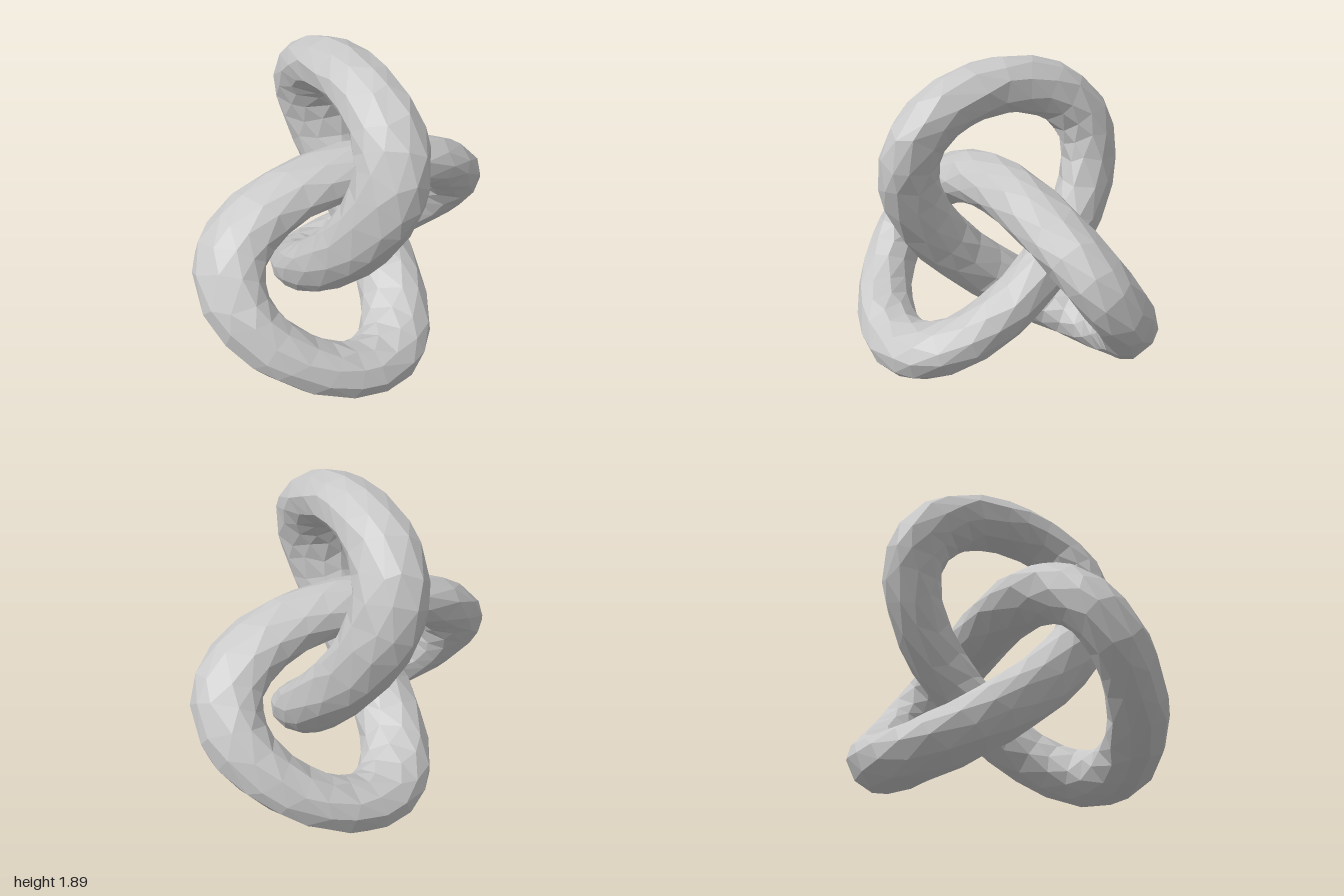
import * as THREE from 'three';

const SCALE = 0.308, TUBE = 0.161, CENTRE_Y = 0.8;
const WIDEN = 4 / 3; // the tube's section is an oval, broader along x
const RINGS = 60, SIDES = 10;

// Trefoil centre line, its axis along x, one lobe pointing up
function knotPoint(t) {
  return new THREE.Vector3(
    -Math.sin(3 * t),
    1.007 * (2 * Math.cos(2 * t) - Math.cos(t)),
    Math.sin(t) + 2 * Math.sin(2 * t)
  ).multiplyScalar(SCALE);
}

// Small seeded generator, -1 to 1
function makeRandom(seed) {
  return () => {
    seed = (seed * 16807) % 2147483647;
    return (seed / 2147483647) * 2 - 1;
  };
}

// Closed tube of staggered rings, with vertices slid along the surface for irregular facets
function knotGeometry() {
  const random = makeRandom(77);
  const axis = new THREE.Vector3(1, 0, 0);
  const positions = [], index = [];

  for (let i = 0; i < RINGS; i++) {
    for (let j = 0; j < SIDES; j++) {
      const t = ((i + 0.22 * random()) / RINGS) * Math.PI * 2;
      const angle = ((j + (i % 2) * 0.5 + 0.18 * random()) / SIDES) * Math.PI * 2;
      const tangent = knotPoint(t + 0.001).sub(knotPoint(t - 0.001)).normalize();
      const normal = tangent.clone().cross(axis).normalize();
      const binormal = tangent.clone().cross(normal);
      const p = knotPoint(t)
        .addScaledVector(normal, TUBE * Math.cos(angle))
        .addScaledVector(binormal, TUBE * Math.sin(angle));
      positions.push(p.x * WIDEN, p.y + CENTRE_Y, p.z);
    }
  }

  const id = (i, j) => (i % RINGS) * SIDES + (j % SIDES);
  for (let i = 0; i < RINGS; i++) {
    for (let j = 0; j < SIDES; j++) {
      const a = id(i, j), a2 = id(i, j + 1), b = id(i + 1, j), b2 = id(i + 1, j + 1);
      if (i % 2) index.push(a, b2, b, a, a2, b2);
      else index.push(a, a2, b, a2, b2, b);
    }
  }

  const geometry = new THREE.BufferGeometry();
  geometry.setAttribute('position', new THREE.Float32BufferAttribute(positions, 3));
  geometry.setIndex(index);
  geometry.computeVertexNormals();
  return geometry;
}

export function createModel() {
  const group = new THREE.Group();
  group.name = 'trefoilKnot';
  const grey = new THREE.MeshStandardMaterial({ color: 0xc8c8c8, flatShading: true });
  grey.name = 'grey';
  const knot = new THREE.Mesh(knotGeometry(), grey);
  knot.name = 'knotTube';
  group.add(knot);
  return group;
}
